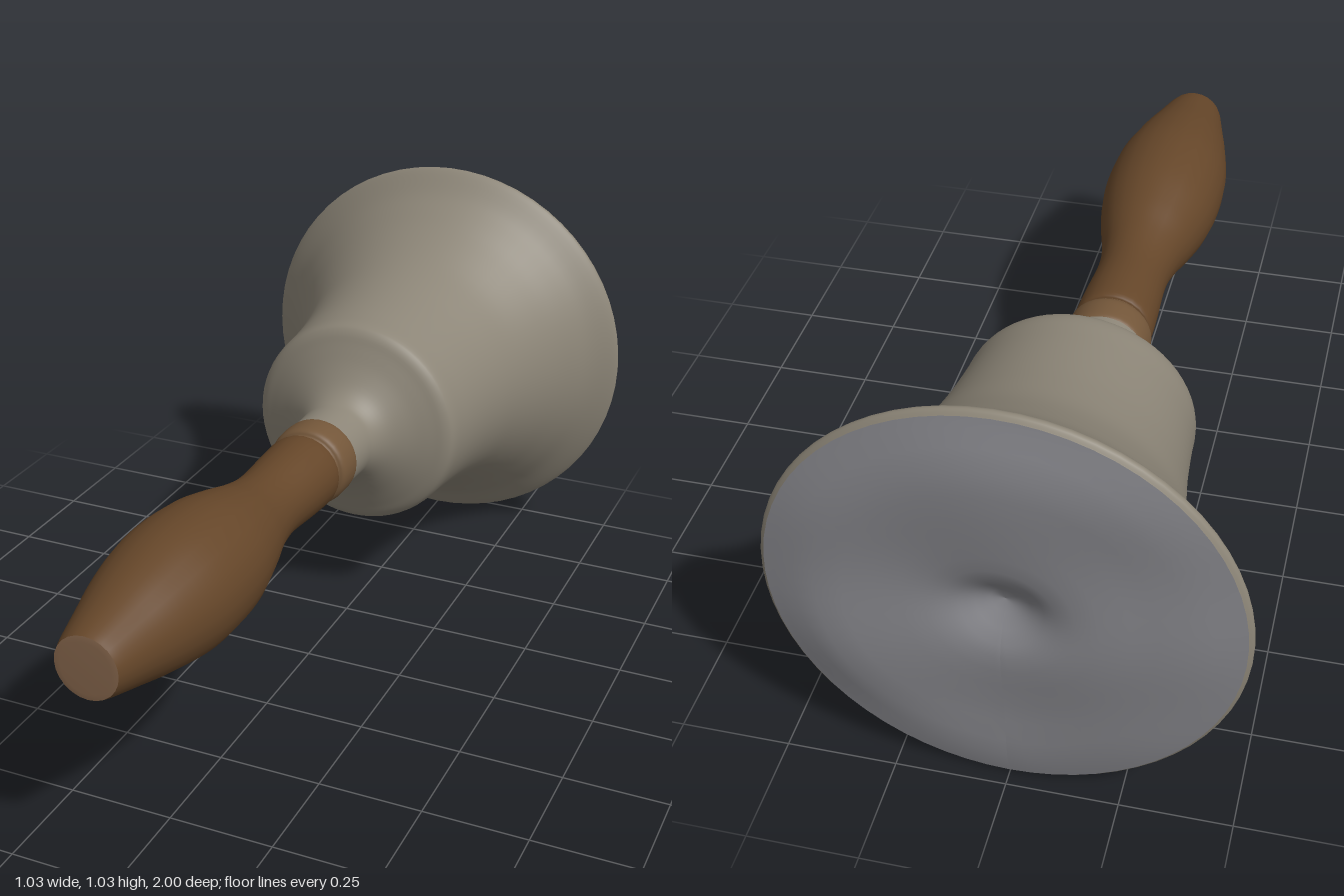
import * as THREE from 'three';

// Centre line of the slightly crooked bell: the handle drifts towards -x
const axisX = (z) => (z < -0.9 ? 0 : z < -0.35 ? -0.012 * (z + 0.9) / 0.55 : -0.012 - 0.022 * (z + 0.35) / 1.35);
const axisY = (z) => 0.513 + (z > 0 ? 0.011 * z : 0);

// Turned part along z from [radius, z] points listed back to front
function turned(name, color, points, segments, smooth = 0) {
  let profile = points.map(([r, z]) => new THREE.Vector2(r, z));
  if (smooth) {
    profile = new THREE.SplineCurve(profile).getPoints(smooth);
    profile.forEach((p) => { p.x = Math.max(p.x, 0); });
  }
  const geo = new THREE.LatheGeometry(profile, segments);
  geo.rotateX(Math.PI / 2);
  const pos = geo.attributes.position;
  for (let i = 0; i < pos.count; i++) {
    const z = pos.getZ(i);
    pos.setXY(i, pos.getX(i) + axisX(z), pos.getY(i) + axisY(z));
  }
  const mesh = new THREE.Mesh(geo, new THREE.MeshStandardMaterial({ color }));
  mesh.name = name;
  return mesh;
}

// Closed mouth of the bell: uneven skin with a dent in the middle
function mouthCover() {
  const rings = [0, 0.03, 0.06, 0.09, 0.12, 0.16, 0.21, 0.27, 0.33, 0.39, 0.44, 0.48, 0.503];
  const geo = new THREE.LatheGeometry(rings.map((r) => new THREE.Vector2(r, 0)), 64);
  geo.rotateX(Math.PI / 2);
  const pos = geo.attributes.position;
  for (let i = 0; i < pos.count; i++) {
    const x = pos.getX(i), y = pos.getY(i), r = Math.hypot(x, y);
    const edge = Math.min(1, (0.503 - r) / 0.1);
    const ripple = 0.006 * Math.sin(14 * y + 3 * x) + 0.004 * Math.sin(11 * x - 5 * y);
    const dent = 0.055 * Math.exp(-((x / 0.1) ** 2) - (y / 0.07) ** 2);
    pos.setXYZ(i, x, y + 0.513, -0.968 + edge * (-0.022 + ripple) + dent);
  }
  geo.computeVertexNormals();
  const mesh = new THREE.Mesh(geo, new THREE.MeshStandardMaterial({ color: 0x85858a, side: THREE.DoubleSide }));
  mesh.name = 'mouthCover';
  return mesh;
}

export function createModel() {
  const group = new THREE.Group();
  group.name = 'handBell';

  // Flared metal body with shoulder and neck
  group.add(turned('bellBody', 0x8c8577, [
    [0.503, -0.968], [0.513, -0.957], [0.505, -0.94], [0.455, -0.895], [0.42, -0.85], [0.38, -0.79],
    [0.33, -0.69], [0.302, -0.59], [0.286, -0.5], [0.275, -0.4], [0.27, -0.335],
    [0.255, -0.312], [0.222, -0.296], [0.175, -0.272], [0.13, -0.24], [0.105, -0.205], [0.1, -0.17], [0.099, -0.1],
  ], 64, 70));
  group.add(mouthCover());

  // Wooden collar ring
  group.add(turned('collar', 0x735639, [
    [0.09, -0.112], [0.098, -0.105], [0.103, -0.09], [0.103, -0.045], [0.098, -0.028], [0.088, -0.02], [0.088, -0.005],
  ], 32, 30));

  // Turned wooden grip
  group.add(turned('handle', 0x654629, [
    [0.086, -0.014], [0.097, 0], [0.095, 0.08], [0.089, 0.2], [0.1, 0.29], [0.124, 0.38], [0.146, 0.48],
    [0.154, 0.58], [0.15, 0.68], [0.13, 0.79], [0.104, 0.89], [0.083, 0.97], [0.074, 0.998],
  ], 24, 60));
  group.add(turned('handleEnd', 0x86664c, [[0.074, 0.998], [0.06, 1], [0, 1]], 24));

  return group;
}
